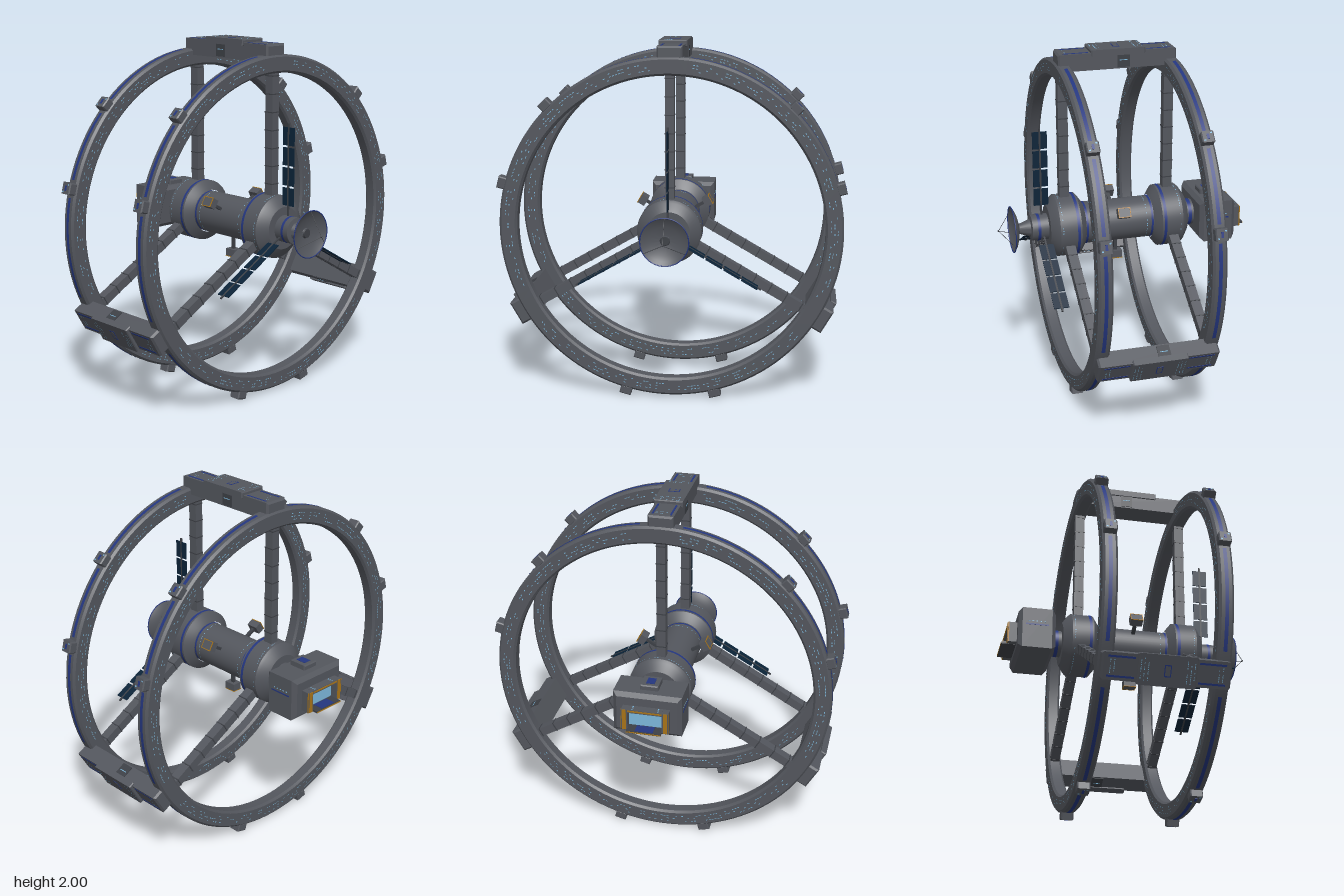
import * as THREE from 'three';
import { mergeGeometries, toCreasedNormals } from 'three/addons/utils/BufferGeometryUtils.js';

const mat = (name, color, side = THREE.FrontSide) => {
  const m = new THREE.MeshStandardMaterial({ color, side });
  m.name = name;
  return m;
};
const hull = mat('hullGrey', 0x53565d);
const hullDouble = mat('dishGrey', 0x53565d, THREE.DoubleSide);
const trim = mat('darkGrey', 0x3d4046);
const blue = mat('blueStripe', 0x24367f);
const glow = mat('windowLight', 0x7cb8dc);
const solar = mat('solarNavy', 0x0b2338);
const amber = mat('amber', 0xa87418);

const CY = 0.97;               // height of the spin axis
const CZ = 0.03;               // middle of the hub along the axis
const RINGS = [0.335, -0.275]; // z of both wheels
const RAD = Math.PI / 180;

let seed = 7;
const rand = () => (seed = (seed * 16807) % 2147483647) / 2147483647;

function add(parent, name, geo, material, x = 0, y = 0, z = 0) {
  const m = new THREE.Mesh(geo, material);
  m.name = name;
  m.position.set(x, y, z);
  parent.add(m);
  return m;
}
const box = (parent, name, material, w, h, d, x, y, z) =>
  add(parent, name, new THREE.BoxGeometry(w, h, d), material, x, y, z);

// Box with every edge cut at 45 degrees
function chamferBox(w, h, d, c) {
  const s = new THREE.Shape();
  const a = w / 2 - c, b = h / 2 - c;
  s.moveTo(-a, -b);
  s.lineTo(a, -b);
  s.lineTo(a, b);
  s.lineTo(-a, b);
  s.closePath();
  const g = new THREE.ExtrudeGeometry(s, {
    depth: d - 2 * c, bevelEnabled: true, bevelSize: c, bevelThickness: c, bevelSegments: 1 });
  return g.translate(0, 0, -(d - 2 * c) / 2);
}

// Solid of revolution about z from [radius, z] points, z increasing on the outside
function spin(points, segments) {
  const g = new THREE.LatheGeometry(points.map(p => new THREE.Vector2(...p)), segments);
  return toCreasedNormals(g.rotateX(Math.PI / 2), 0.4);
}

// Thin band about z, optionally only an arc (degrees counted from +y)
function band(r, width, z, from = 0, to = 360) {
  const g = new THREE.CylinderGeometry(r, r, width, Math.max(6, Math.ceil((to - from) / 4)), 1, true,
    Math.PI - to * RAD, (to - from) * RAD);
  return g.rotateX(Math.PI / 2).translate(0, 0, z);
}

// Small lit plate facing +z or -z on a wheel, or facing outward on a drum
const faceWindow = (w, h, r, z, a, back) => {
  const g = new THREE.PlaneGeometry(w, h);
  if (back) g.rotateY(Math.PI);
  return g.translate(0, r, z).rotateZ(a);
};
const drumWindow = (w, d, x, r, z, a) =>
  new THREE.PlaneGeometry(w, d).rotateX(-Math.PI / 2).translate(x, r, z).rotateZ(a);

function buildWheel(parent, z) {
  const wheel = new THREE.Group();
  wheel.name = 'wheel';
  wheel.position.z = z;
  parent.add(wheel);
  const o = 0.955, i = 0.855, h = 0.04, c = 0.012;
  add(wheel, 'wheelRim', spin([[o, -h + c], [o, h - c], [o - c, h], [i + c, h], [i, h - c],
    [i, -h + c], [i + c, -h], [o - c, -h], [o, -h + c]], 120), hull);
  const stripes = [], lights = [];
  for (let k = 0; k < 3; k++) {
    for (const [from, to] of [[7, 42], [48, 72], [78, 113]])
      stripes.push(band(o + 0.002, 0.02, 0, from + k * 120, to + k * 120));
    for (const m of [45, 75]) {
      const pod = new THREE.Group();
      pod.name = 'rimPod';
      pod.rotation.z = (m + k * 120) * RAD;
      wheel.add(pod);
      add(pod, 'podBody', chamferBox(0.066, 0.05, 0.07, 0.006), hull, 0, 0.969, 0);
      box(pod, 'podStripe', blue, 0.03, 0.002, 0.014, 0, 0.9945, 0);
      lights.push(drumWindow(0.008, 0.01, 0.02, 0.9945, 0.02, pod.rotation.z),
        drumWindow(0.008, 0.01, -0.02, 0.9945, -0.02, pod.rotation.z));
    }
    // Rows of lit windows on both flat faces
    for (const back of [false, true])
      for (const r of [0.888, 0.905, 0.922])
        for (let a = 7; a < 113; a += 1.15)
          if (rand() < 0.36)
            lights.push(faceWindow(0.011, 0.004, r, back ? -h - 0.001 : h + 0.001, (a + k * 120) * RAD, back));
  }
  add(wheel, 'rimStripes', mergeGeometries(stripes), blue);
  add(wheel, 'rimWindows', mergeGeometries(lights), glow);
}

// Everything that repeats three times about the axis; local +y points outward
function buildArm(parent, k) {
  const arm = new THREE.Group();
  arm.name = 'arm';
  arm.rotation.z = k * 120 * RAD;
  parent.add(arm);

  // Spokes with seam collars
  for (const z of RINGS) {
    box(arm, 'spoke', hull, 0.05, 0.74, 0.055, 0, 0.5, z);
    for (let r = 0.24; r < 0.85; r += 0.1) box(arm, 'spokeSeam', trim, 0.054, 0.006, 0.059, 0, r, z);
  }

  // Bridge between the wheels and its outer deck
  add(arm, 'bridge', chamferBox(0.14, 0.095, 0.67, 0.01), hull, 0, 0.9645, CZ);
  add(arm, 'deck', chamferBox(0.16, 0.036, 0.305, 0.005), hull, 0, 1.012, CZ);
  for (const s of [1, -1]) {
    for (const e of [1, -1])
      box(arm, 'bridgeStripe', blue, 0.01, 0.002, 0.14, s * 0.05, 1.0125, CZ + e * 0.235);
    box(arm, 'sideHatch', trim, 0.006, 0.075, 0.07, s * 0.0715, 0.962, 0);
    box(arm, 'hatchLight', glow, 0.002, 0.004, 0.045, s * 0.075, 0.965, 0);
  }
  box(arm, 'deckHatch', blue, 0.062, 0.002, 0.036, 0, 1.0305, CZ);
  box(arm, 'deckHatchLid', hull, 0.05, 0.002, 0.026, 0, 1.0315, CZ);
  const lights = [];
  for (const s of [1, -1])
    for (const [y, d] of [[1.0312, 0.10], [1.0312, 0.12], [1.0312, 0.138], [1.0128, 0.27], [1.0128, 0.29]])
      for (let x = -0.055; x < 0.06; x += 0.011)
        if (Math.abs(x) < (y > 1.02 ? 0.06 : 0.036) && rand() < 0.7)
          lights.push(drumWindow(0.007, 0.004, x, y, CZ + s * d, 0));
  add(arm, 'deckWindows', mergeGeometries(lights), glow);

  // Solar wing, edge-on to the axis
  box(arm, 'solarMast', trim, 0.008, 0.53, 0.01, 0, 0.325, 0.465);
  for (let n = 0; n < 4; n++)
    box(arm, 'solarPanel', solar, 0.005, 0.1, 0.084, 0, 0.182 + n * 0.112, 0.465);

  // Docking pod on the opposite side of the drum
  const pod = new THREE.Group();
  pod.name = 'dockingPod';
  pod.rotation.z = Math.PI;
  arm.add(pod);
  box(pod, 'podStem', trim, 0.016, 0.1, 0.02, 0, 0.15, CZ);
  box(pod, 'podBody', hull, 0.055, 0.045, 0.07, 0, 0.214, CZ);
  for (const s of [1, -1]) {
    box(pod, 'podEdge', amber, 0.004, 0.004, 0.072, s * 0.0265, 0.2355, CZ);
    box(pod, 'podSideEdge', amber, 0.055, 0.004, 0.004, 0, 0.2355, CZ + s * 0.034);
  }
}

function buildHub(parent) {
  const hub = new THREE.Group();
  hub.name = 'hub';
  parent.add(hub);
  add(hub, 'drum', spin([[0.12, -0.2], [0.12, 0.25]], 48), hull);
  const lights = [];
  for (const s of [1, -1]) {
    const pts = [[0.125, 0.2], [0.145, 0.212], [0.178, 0.237], [0.178, 0.36], [0.165, 0.375], [0.12, 0.405], [0, 0.405]];
    const prof = s > 0 ? pts : pts.map(([r, z]) => [r, -z]).reverse();
    add(hub, 'collar', spin(prof, 48), hull, 0, 0, CZ);
    add(hub, 'collarBand', band(0.1795, 0.016, CZ + s * 0.255), blue);
    add(hub, 'drumBand', band(0.1215, 0.012, CZ + s * 0.192), blue);
    for (const [r, d] of [[0.1215, 0.16], [0.1795, 0.345]])
      for (let a = 0; a < 360; a += 5)
        if (rand() < 0.6) lights.push(drumWindow(0.007, 0.004, 0, r, CZ + s * d, a * RAD));
  }
  add(hub, 'hubWindows', mergeGeometries(lights), glow);

  // Necks at both ends
  add(hub, 'frontNeck', spin([[0.075, 0.42], [0.075, 0.53], [0.05, 0.535], [0.026, 0.605]], 32), hull);
  add(hub, 'frontNeckBand', band(0.0765, 0.016, 0.49), blue);
  add(hub, 'rearNeck', spin([[0.075, -0.45], [0.075, -0.36]], 32), hull);
  add(hub, 'rearNeckBand', band(0.0765, 0.02, -0.405), blue);

  // Dish with feed on a tripod
  add(hub, 'dish', spin([[0, 0.597], [0.04, 0.6], [0.08, 0.61], [0.11, 0.622], [0.132, 0.637]], 48), hullDouble);
  add(hub, 'dishRim', new THREE.TorusGeometry(0.131, 0.003, 6, 48), blue, 0, 0, 0.637);
  add(hub, 'dishBoss', new THREE.CylinderGeometry(0.024, 0.028, 0.012, 24).rotateX(Math.PI / 2), trim, 0, 0, 0.605);
  const tip = new THREE.Vector3(0, 0, 0.715);
  for (const a of [90, 210, 330]) {
    const foot = new THREE.Vector3(0.128 * Math.cos(a * RAD), 0.128 * Math.sin(a * RAD), 0.637);
    add(hub, 'feedStrut', new THREE.TubeGeometry(new THREE.LineCurve3(foot, tip), 1, 0.0016, 5), trim);
  }
  add(hub, 'feed', new THREE.SphereGeometry(0.005, 10, 8), trim, 0, 0, 0.715);
}

function buildRearModule(parent) {
  const rear = new THREE.Group();
  rear.name = 'rearModule';
  parent.add(rear);
  add(rear, 'moduleBody', chamferBox(0.38, 0.24, 0.212, 0.022), hull, 0, 0, -0.534);
  add(rear, 'roofBlock', chamferBox(0.1, 0.036, 0.11, 0.006), hull, 0, 0.13, -0.525);
  box(rear, 'roofPanel', blue, 0.046, 0.002, 0.06, 0, 0.149, -0.525);
  for (const s of [1, -1]) {
    box(rear, 'sideStripe', blue, 0.002, 0.008, 0.13, s * 0.1905, 0.02, -0.534);
    for (let n = 0; n < 5; n++)
      box(rear, 'sideWindow', glow, 0.002, 0.005, 0.009, s * 0.1905, 0.04, -0.58 + n * 0.022);
    // Hangar side walls with amber edging
    box(rear, 'hangarWall', hull, 0.035, 0.12, 0.06, s * 0.1125, -0.01, -0.66);
    box(rear, 'hangarEdge', amber, 0.022, 0.12, 0.004, s * 0.113, -0.01, -0.691);
    box(rear, 'hangarSideEdge', amber, 0.003, 0.12, 0.006, s * 0.1305, -0.01, -0.687);
  }
  // Hangar roof, floor, glowing back wall and landing strip
  box(rear, 'hangarRoof', hull, 0.19, 0.018, 0.06, 0, 0.042, -0.66);
  box(rear, 'hangarRoofEdge', amber, 0.19, 0.008, 0.004, 0, 0.044, -0.691);
  box(rear, 'hangarFloor', trim, 0.19, 0.01, 0.085, 0, -0.066, -0.68);
  box(rear, 'hangarLip', amber, 0.19, 0.006, 0.003, 0, -0.066, -0.7225);
  box(rear, 'hangarGlow', glow, 0.19, 0.094, 0.004, 0, -0.014, -0.648);
  box(rear, 'landingStrip', blue, 0.1, 0.002, 0.06, 0, -0.0605, -0.685);
  for (const s of [1, -1])
    for (let n = 0; n < 3; n++)
      box(rear, 'roofLight', glow, 0.008, 0.002, 0.005, s * 0.07, 0.0515, -0.65 - n * 0.014);
}

export function createModel() {
  const model = new THREE.Group();
  model.name = 'spaceStation';
  const core = new THREE.Group();
  core.name = 'station';
  core.position.y = CY;
  model.add(core);
  RINGS.forEach(z => buildWheel(core, z));
  for (let k = 0; k < 3; k++) buildArm(core, k);
  buildHub(core);
  buildRearModule(core);
  return model;
}
